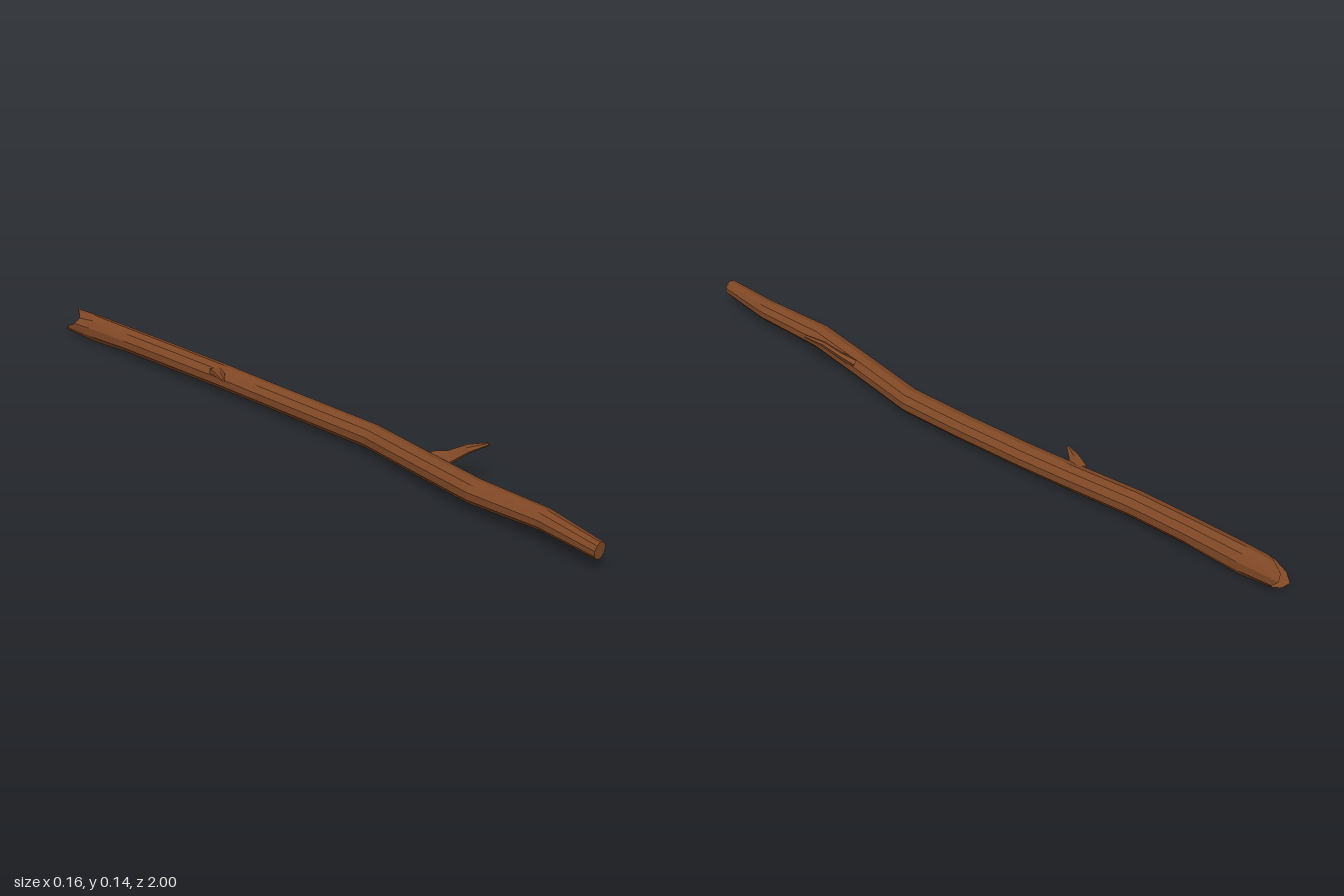
import * as THREE from 'three';

const SIDES = 10;
const bark = new THREE.MeshStandardMaterial({ color: 0x804826, flatShading: true });

// Skins a list of rings (arrays of Vector3, counter-clockwise about the path) and caps both ends.
function loft(name, rings, startInset = 0) {
  const pos = [], n = rings[0].length;
  const tri = (...pts) => pts.forEach(p => pos.push(p.x, p.y, p.z));
  const centre = ring => ring.reduce((s, p) => s.add(p), new THREE.Vector3()).divideScalar(n);
  const first = rings[0], last = rings[rings.length - 1];
  const c0 = centre(first), c1 = centre(last);
  c0.z += startInset;
  for (let j = 0; j < n; j++) {
    const k = (j + 1) % n;
    for (let i = 0; i < rings.length - 1; i++) {
      const a = rings[i], b = rings[i + 1];
      tri(a[j], a[k], b[k]);
      tri(a[j], b[k], b[j]);
    }
    tri(c0, first[k], first[j]);
    tri(c1, last[j], last[k]);
  }
  const geo = new THREE.BufferGeometry();
  geo.setAttribute('position', new THREE.Float32BufferAttribute(pos, 3));
  geo.computeVertexNormals();
  const mesh = new THREE.Mesh(geo, bark);
  mesh.name = name;
  return mesh;
}

// Main stick: [z, centre x, centre y, radius x, radius y] from the broken end to the thin end.
function makeStick() {
  const sections = [
    [-1, 0.005, 0.041, 0.036, 0.034],
    [-0.88, 0.008, 0.041, 0.036, 0.041],
    [-0.72, 0.008, 0.049, 0.036, 0.036],
    [-0.55, 0.01, 0.052, 0.036, 0.036],
    [-0.35, 0.021, 0.05, 0.036, 0.035],
    [-0.2, 0.026, 0.048, 0.036, 0.034],
    [0, 0.03, 0.048, 0.036, 0.034],
    [0.2, 0.031, 0.05, 0.036, 0.034],
    [0.4, -0.003, 0.056, 0.036, 0.034],
    [0.6, -0.035, 0.062, 0.036, 0.034],
    [0.82, -0.034, 0.066, 0.032, 0.029],
    [1, -0.059, 0.062, 0.023, 0.023],
  ];
  const rings = sections.map(([z, cx, cy, rx, ry], i) =>
    Array.from({ length: SIDES }, (_, j) => {
      const a = (j + 0.5) / SIDES * Math.PI * 2;
      // The broken end is scooped towards its upper -x side.
      const d = (Math.sin(a) - Math.cos(a)) * Math.SQRT1_2;
      const dz = i === 0 ? 0.002 + 0.045 * d * d + 0.02 * d : 0;
      return new THREE.Vector3(cx + rx * Math.cos(a), cy + ry * Math.sin(a), z + dz);
    }));
  return loft('stick', rings, 0.022);
}

// Twig stub along a few points, each with a half width across and along the stick.
function makeTwig(name, path) {
  const side = new THREE.Vector3(), up = new THREE.Vector3();
  const dir = path[path.length - 1].p.clone().sub(path[0].p).normalize();
  up.set(0, 0, 1).addScaledVector(dir, -dir.z).normalize();
  side.crossVectors(up, dir);
  return loft(name, path.map(({ p, w, h }) =>
    Array.from({ length: 6 }, (_, j) => {
      const a = j / 6 * Math.PI * 2;
      return p.clone().addScaledVector(side, w * Math.cos(a)).addScaledVector(up, h * Math.sin(a));
    })));
}

const at = (x, y, z, w, h) => ({ p: new THREE.Vector3(x, y, z), w, h });

export function createModel() {
  const model = new THREE.Group();
  model.name = 'stick';
  model.add(
    makeStick(),
    makeTwig('longTwig', [
      at(0.01, 0.065, 0.43, 0.014, 0.034),
      at(0.028, 0.086, 0.467, 0.01, 0.02),
      at(0.05, 0.117, 0.51, 0.008, 0.013),
      at(0.075, 0.137, 0.555, 0.005, 0.004),
    ]),
    makeTwig('shortTwig', [
      at(0.008, 0.066, -0.36, 0.014, 0.03),
      at(-0.018, 0.076, -0.33, 0.009, 0.016),
      at(-0.044, 0.08, -0.288, 0.004, 0.004),
    ]),
  );
  return model;
}
